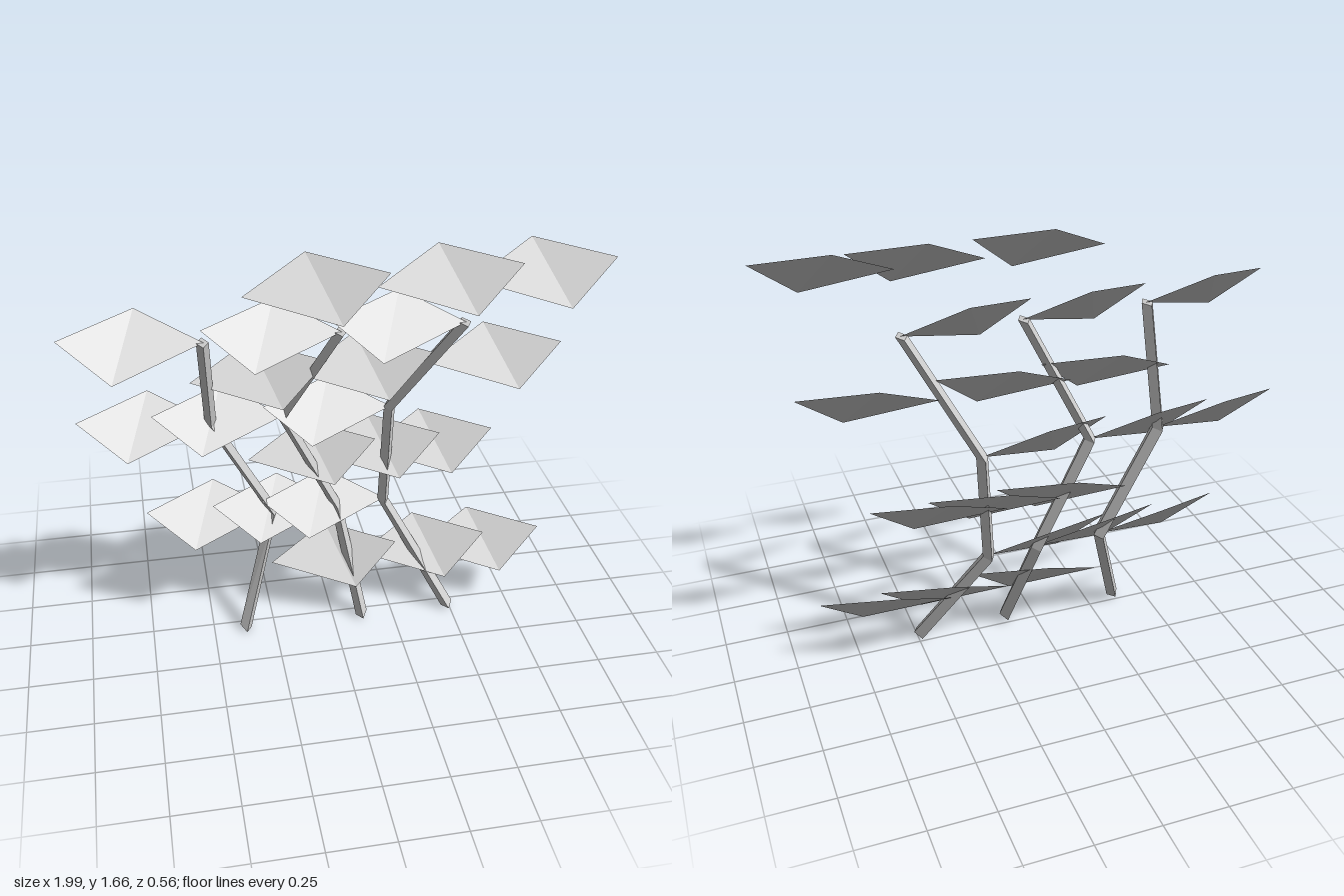
import * as THREE from 'three';

const leafMaterial = new THREE.MeshStandardMaterial({ color: 0xcccccc, side: THREE.DoubleSide });
leafMaterial.name = 'pale grey';

// Heights and depths shared by all stems at their four joints
const jointY = [0.01, 0.45, 0.89, 1.33];
const jointZ = [0.043, -0.145, -0.145, 0.052];

// x of each stem's joints, and x of the leaves growing to its left
const vines = [
  { joints: [-0.37, -0.22, -0.455, -0.48], leftLeaves: [-0.24, -0.31, -0.53, -0.345] },
  { joints: [0.12, 0.045, -0.17, 0.025], leftLeaves: [0.14, -0.04, -0.12, 0.135] },
  { joints: [0.49, 0.245, 0.262, 0.495], leftLeaves: [0.38, 0.18, 0.395, 0.48] },
];
const leftLeafY = [0.235, 0.675, 1.11, 1.545];
const leftLeafZ = [-0.07, -0.185, -0.065, 0.165];

// Bent stem: a diamond-section prism whose rings follow the joints
function makeStem(joints) {
  const geometry = new THREE.CylinderGeometry(1, 1, 3, 4, 3).toNonIndexed();
  const p = geometry.attributes.position;
  for (let i = 0; i < p.count; i++) {
    const k = Math.round(p.getY(i) + 1.5);
    p.setXYZ(i, joints[k] + p.getX(i) * 0.023, jointY[k], jointZ[k] + p.getZ(i) * 0.044);
  }
  // Lean the cut at the foot so that it meets the ground
  const lean = Math.sign(joints[1] - joints[0]);
  for (let i = 0; i < p.count; i++) {
    if (p.getY(i) < 0.02) p.setY(i, 0.01 - lean * (p.getX(i) - joints[0]) * 0.43);
  }
  geometry.computeVertexNormals();
  const mesh = new THREE.Mesh(geometry, leafMaterial);
  mesh.name = 'stem';
  return mesh;
}

// Kite-shaped leaf folded from back corner to front corner; side is +1 or -1
function makeLeafGeometry(side) {
  const base = [0, 0, 0];
  const back = [side * 0.238, 0.113, -0.095];
  const tip = [side * 0.518, 0.065, 0.035];
  const front = [side * 0.337, -0.087, 0.114];
  const corners = side > 0
    ? [base, front, back, front, tip, back]
    : [base, back, front, front, back, tip];
  const geometry = new THREE.BufferGeometry();
  geometry.setAttribute('position', new THREE.Float32BufferAttribute(corners.flat(), 3));
  geometry.computeVertexNormals();
  return geometry;
}

export function createModel() {
  const model = new THREE.Group();
  model.name = 'climbing plant';
  const leftGeometry = makeLeafGeometry(1);
  const rightGeometry = makeLeafGeometry(-1);

  for (const { joints, leftLeaves } of vines) {
    const vine = new THREE.Group();
    vine.name = 'vine';
    vine.add(makeStem(joints));

    const addLeaf = (name, geometry, x, y, z) => {
      const leaf = new THREE.Mesh(geometry, leafMaterial);
      leaf.name = name;
      leaf.position.set(x, y, z);
      vine.add(leaf);
    };
    // Right leaves sprout at the joints, left leaves between and above them
    for (let k = 1; k < 4; k++) {
      addLeaf('rightLeaf', rightGeometry, joints[k] + 0.005, jointY[k] + (k === 1 ? 0.003 : 0), jointZ[k]);
    }
    leftLeaves.forEach((x, k) => addLeaf('leftLeaf', leftGeometry, x, leftLeafY[k], leftLeafZ[k]));
    model.add(vine);
  }
  return model;
}
